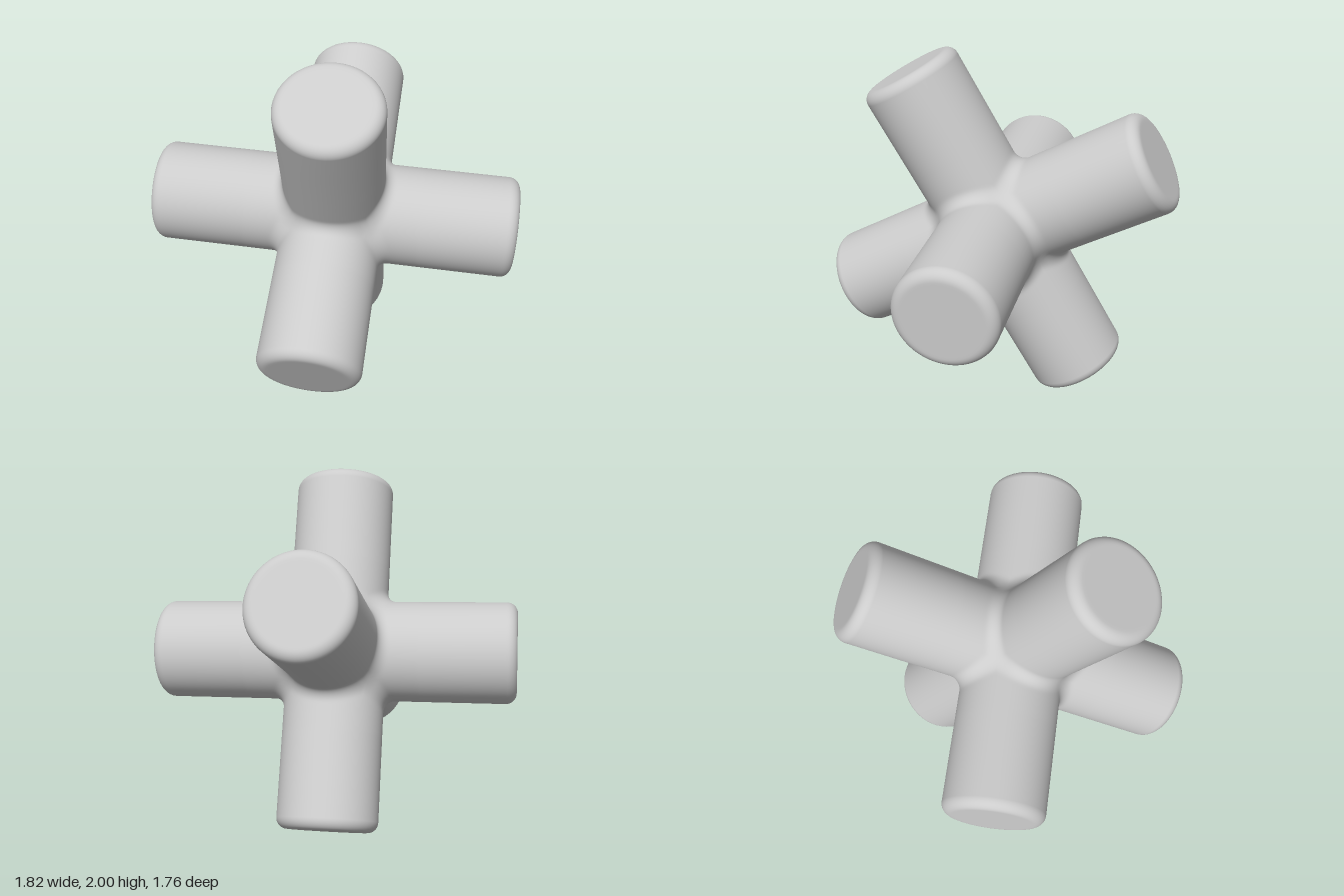
import * as THREE from 'three';
import { mergeVertices } from 'three/addons/utils/BufferGeometryUtils.js';

const R = 0.282;      // arm radius
const L = 1.018;      // arm length from the centre
const FILLET = 0.065; // blend where arms meet
const RIM = 0.06;     // rounding of the end caps
const SIDES = 80;

// Three crossing cylinders joined with a round fillet; negative inside.
function field(x, y, z) {
  const gap = (a, b) => Math.max(FILLET - (Math.hypot(a, b) - R), 0);
  return FILLET - Math.hypot(gap(y, z), gap(x, z), gap(x, y));
}

// Distance from the centre to the blended surface along a unit direction.
function reach(x, y, z) {
  let lo = 0, hi = 1.2;
  for (let i = 0; i < 32; i++) {
    const t = (lo + hi) / 2;
    if (field(x * t, y * t, z * t) < 0) lo = t; else hi = t;
  }
  return lo;
}

// Outline of one arm at an angle, as [along, radius], from seam to cap centre.
function armProfile(angle) {
  const c = Math.cos(angle), s = Math.sin(angle);
  const seam = Math.atan2(1, Math.max(Math.abs(c), Math.abs(s)));
  const end = Math.atan2(R, 0.5);
  const rows = [];
  for (let i = 0; i <= 16; i++) {
    const phi = THREE.MathUtils.lerp(seam, end, i / 16);
    const u = Math.cos(phi), q = Math.sin(phi);
    const t = reach(u, q * c, q * s);
    rows.push([u * t, q * t]);
  }
  rows.push([0.75, R]);
  for (let i = 0; i <= 8; i++) {
    const a = (i / 8) * Math.PI / 2;
    rows.push([L - RIM + RIM * Math.sin(a), R - RIM + RIM * Math.cos(a)]);
  }
  rows.push([L, R - RIM - 0.015], [L, 0.1], [L, 0]);
  return rows;
}

function createCross() {
  const positions = [], indices = [];
  const axes = [0, 1, 2].map((i) => new THREE.Vector3().setComponent(i, 1));
  for (let k = 0; k < 3; k++) {
    for (const sign of [1, -1]) {
      // Right-handed frame of this arm
      const u = axes[k].clone().multiplyScalar(sign);
      const v = axes[(k + 1) % 3];
      const w = new THREE.Vector3().crossVectors(u, v);
      const base = positions.length / 3;
      let count = 0;
      for (let j = 0; j < SIDES; j++) {
        const angle = (j / SIDES) * Math.PI * 2;
        const profile = armProfile(angle);
        count = profile.length;
        for (const [along, radius] of profile) {
          const p = u.clone().multiplyScalar(along)
            .addScaledVector(v, radius * Math.cos(angle))
            .addScaledVector(w, radius * Math.sin(angle));
          positions.push(p.x, p.y, p.z);
        }
      }
      for (let j = 0; j < SIDES; j++) {
        const here = base + j * count, next = base + ((j + 1) % SIDES) * count;
        for (let i = 0; i < count - 1; i++) {
          indices.push(here + i, next + i, here + i + 1);
          if (i < count - 2) indices.push(next + i, next + i + 1, here + i + 1);
        }
      }
    }
  }
  const geometry = new THREE.BufferGeometry();
  geometry.setAttribute('position', new THREE.Float32BufferAttribute(positions, 3));
  geometry.setIndex(indices);
  // Weld the seams so the shading runs smoothly from arm to arm
  const welded = mergeVertices(geometry, 1e-4);
  welded.computeVertexNormals();
  return welded;
}

export function createModel() {
  const group = new THREE.Group();
  group.name = 'sixArmedCross';
  const material = new THREE.MeshStandardMaterial({ color: 0xcccccc });
  const body = new THREE.Mesh(createCross(), material);
  body.name = 'crossingCylinders';

  // Tilt the three perpendicular axes
  const up = new THREE.Vector3(-0.312, 0.868, 0.386).normalize();
  const side = new THREE.Vector3(0.725, -0.035, 0.688);
  side.addScaledVector(up, -side.dot(up)).normalize();
  const third = new THREE.Vector3().crossVectors(up, side);
  body.quaternion.setFromRotationMatrix(new THREE.Matrix4().makeBasis(up, side, third));
  body.position.y = 1;
  group.add(body);
  return group;
}
